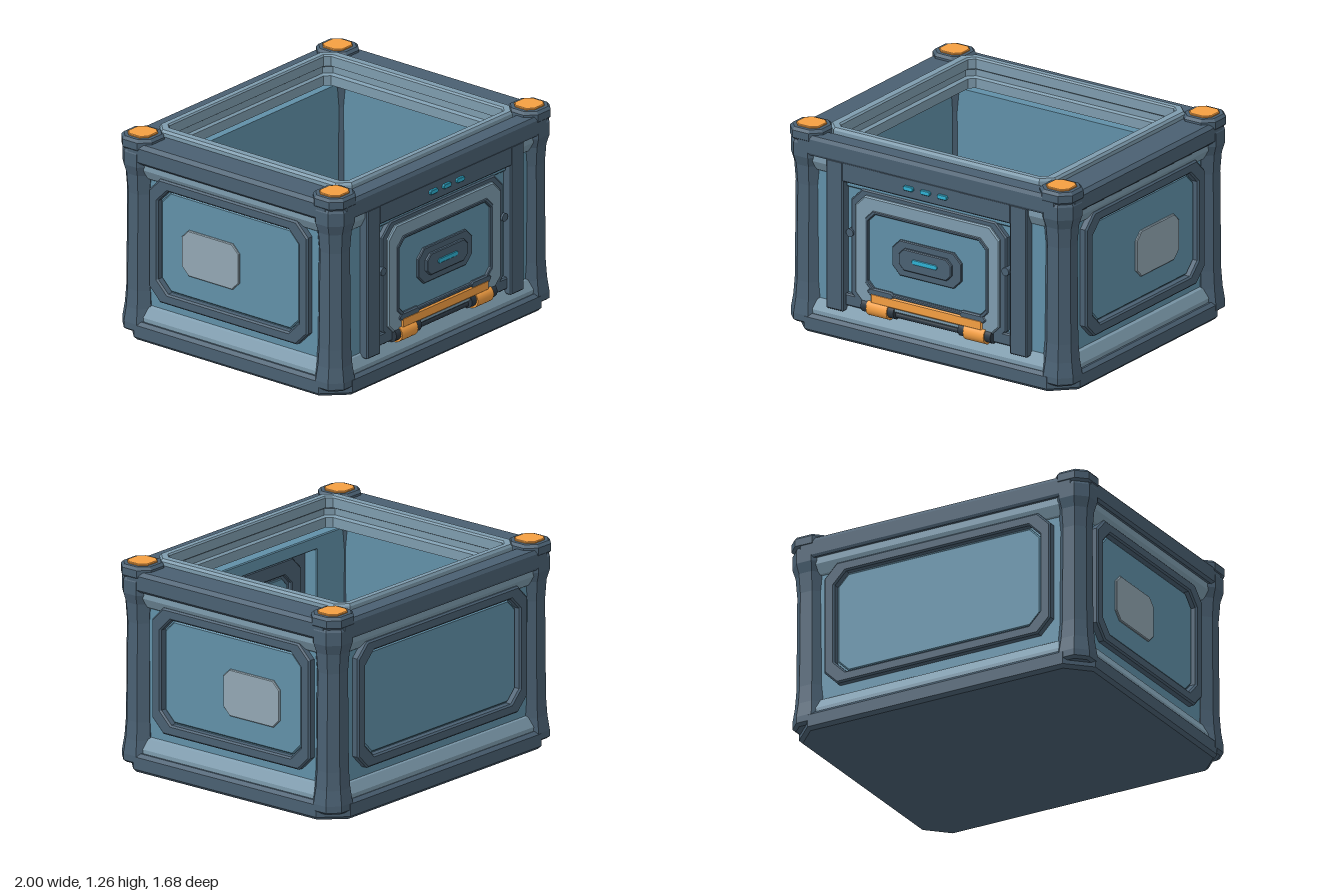
import * as THREE from 'three';

const DARK = 0x4a6072, BLUE = 0x6190a8, LIGHT = 0x7e9cae, FLOOR = 0x384956;
const ORANGE = 0xf59f42, CYAN = 0x2fb2d4, BLACK = 0x2c3843, PLATE = 0x93a7b3;

function add(parent, name, geometry, color, x = 0, y = 0, z = 0) {
  const mesh = new THREE.Mesh(geometry, new THREE.MeshStandardMaterial({ color }));
  mesh.name = name;
  mesh.position.set(x, y, z);
  parent.add(mesh);
  return mesh;
}

// Corners of a rectangle with cut corners
function octagon(hx, hy, c) {
  return [[hx, hy - c], [hx - c, hy], [c - hx, hy], [-hx, hy - c],
    [-hx, c - hy], [c - hx, -hy], [hx - c, -hy], [hx, c - hy]];
}

// Sweeps a profile of [outward offset, y] around a cut-corner rectangle
function sweep(hx, hz, c, profile, kz = 1) {
  const pos = [], index = [];
  for (const [o, y] of profile) {
    const a = Math.max(0, hx + o), b = Math.max(0, hz + o * kz);
    const cut = Math.min(Math.max(0.004, c + o * 0.586), a, b);
    for (const [x, z] of octagon(a, b, cut)) pos.push(x, y, z);
  }
  for (let j = 0; j < profile.length - 1; j++) {
    for (let i = 0; i < 8; i++) {
      const a = j * 8 + i, b = j * 8 + (i + 1) % 8;
      index.push(a, a + 8, b, b, a + 8, b + 8);
    }
  }
  let g = new THREE.BufferGeometry();
  g.setAttribute('position', new THREE.Float32BufferAttribute(pos, 3));
  g.setIndex(index);
  g = g.toNonIndexed();
  g.computeVertexNormals();
  return g;
}

// Bevelled cut-corner plate facing +z, front at z = depth; hole is [w, h, c]
function plate(w, h, c, depth, hole, bevel = 0.008) {
  const points = (a, b, k) => octagon(a / 2, b / 2, k).map(p => new THREE.Vector2(...p));
  const shape = new THREE.Shape(points(w, h, c));
  if (hole) shape.holes.push(new THREE.Path(points(...hole).reverse()));
  return new THREE.ExtrudeGeometry(shape, {
    depth: depth - bevel, bevelEnabled: true, bevelSegments: 1,
    bevelSize: bevel, bevelThickness: bevel, bevelOffset: -bevel,
  });
}

function rod(r, length, axis) {
  const g = new THREE.CylinderGeometry(r, r, length, 20);
  return axis === 'x' ? g.rotateZ(Math.PI / 2) : g.rotateX(Math.PI / 2);
}

// Recessed wall panel inside a raised octagonal frame
function framedPanel(name, w, h) {
  const g = new THREE.Group();
  g.name = name;
  add(g, 'panelFrame', plate(w, h, 0.085, 0.045, [w - 0.14, h - 0.13, 0.075], 0.01), DARK);
  add(g, 'panelInset', plate(w - 0.16, h - 0.15, 0.07, 0.018), BLUE);
  return g;
}

function buildBody() {
  const body = new THREE.Group();
  body.name = 'body';
  // Base, floor and walls; the front inner wall has the hatch opening
  add(body, 'base', sweep(0.997, 0.835, 0.14,
    [[-1, 0], [-0.02, 0], [0, 0.02], [0, 0.095], [-0.02, 0.115], [-0.09, 0.115]]), DARK);
  add(body, 'floor', new THREE.BoxGeometry(1.7, 0.04, 1.5), FLOOR, 0, 0.1, 0);
  add(body, 'outerWall', sweep(0.92, 0.77, 0.03, [[0, 0.1], [0, 1.12]]), BLUE);
  for (const s of [-1, 1])
    add(body, 'innerSideWall', new THREE.BoxGeometry(0.07, 0.98, 1.5), BLUE, 0.875 * s, 0.6, 0);
  add(body, 'innerRearWall', new THREE.BoxGeometry(1.72, 0.94, 0.1), BLUE, 0, 0.58, -0.71);
  const front = add(body, 'innerFrontWall',
    plate(1.72, 0.94, 0.005, 0.115, [1.18, 0.78, 0.005], 0.006), BLUE, 0, 0.58, 0.76);
  front.rotation.y = Math.PI;
  // Sloped trim above the base and below the rail
  add(body, 'lowerTrim', sweep(0.965, 0.81, 0.05,
    [[0, 0.1], [0, 0.14], [-0.03, 0.2], [-0.05, 0.212]]), LIGHT);
  add(body, 'upperTrim', sweep(0.965, 0.81, 0.05,
    [[-0.05, 0.99], [-0.03, 1.003], [0, 1.06], [0, 1.11]]), LIGHT);
  // Top rail and stepped inner rim
  add(body, 'topRail', sweep(0.995, 0.834, 0.09, [[-0.2, 1.1], [-0.015, 1.1], [0, 1.115],
    [0, 1.2], [-0.022, 1.222], [-0.2, 1.222], [-0.2, 1.1]], 0.55), DARK);
  add(body, 'innerRim', sweep(0.797, 0.724, 0.07, [[0, 1.08], [0, 1.245], [-0.012, 1.26],
    [-0.056, 1.26], [-0.066, 1.25], [-0.066, 1.19], [-0.045, 1.18], [-0.045, 1.14],
    [-0.066, 1.13], [-0.066, 1.07], [0.08, 1.07]], 0.75), LIGHT);
  // Flared corner posts with octagonal caps
  for (const sx of [-1, 1]) for (const sz of [-1, 1]) {
    const post = new THREE.Group();
    post.name = 'cornerPost';
    post.position.set(0.883 * sx, 0, 0.722 * sz);
    add(post, 'postShaft', sweep(0.115, 0.112, 0.065, [[-0.2, 0.045], [-0.02, 0.045], [0, 0.06],
      [0, 0.1], [-0.014, 0.19], [-0.022, 0.3], [-0.027, 0.9], [-0.018, 1.02], [0, 1.08],
      [0, 1.16], [-0.02, 1.2], [-0.2, 1.2]]), DARK);
    add(post, 'postCap', sweep(0.117, 0.115, 0.06, [[-0.2, 1.17], [-0.02, 1.17], [0, 1.19],
      [0, 1.235], [-0.015, 1.252], [-0.2, 1.252]]), DARK);
    add(post, 'capInlay', sweep(0.08, 0.077, 0.036,
      [[0, 1.24], [0, 1.258], [-0.005, 1.262], [-0.1, 1.262]]), ORANGE);
    body.add(post);
  }
  // Side panels with a small offset cover plate, and the plain rear panel
  for (const s of [-1, 1]) {
    const panel = framedPanel('sidePanel', 1.2, 0.77);
    add(panel, 'coverPlate', plate(0.43, 0.285, 0.05, 0.03, null, 0.005), PLATE, 0.145 * s, -0.03, 0);
    panel.position.set(0.92 * s, 0.65, -0.015);
    panel.rotation.y = s * Math.PI / 2;
    body.add(panel);
  }
  const rear = framedPanel('rearPanel', 1.52, 0.77);
  rear.position.set(0, 0.65, -0.77);
  rear.rotation.y = Math.PI;
  body.add(rear);
  body.position.z = -0.005;
  return body;
}

function buildHatch() {
  const hatch = new THREE.Group();
  hatch.name = 'frontHatch';
  const z = 0.764;
  // Door surround
  for (const s of [-1, 1]) add(hatch, 'jamb', plate(0.12, 0.93, 0.005, 0.06), DARK, 0.65 * s, 0.643, z);
  add(hatch, 'header', plate(1.2, 0.125, 0.005, 0.06), DARK, 0, 1.048, z);
  add(hatch, 'lintel', plate(1.18, 0.04, 0.005, 0.025), BLUE, 0, 0.968, z);
  add(hatch, 'sill', plate(1.18, 0.075, 0.005, 0.035), DARK, 0, 0.25, z);
  for (const x of [-0.12, 0, 0.12])
    add(hatch, 'indicatorLight', plate(0.07, 0.028, 0.008, 0.075, null, 0.003), CYAN, x, 1.05, z);
  // Nested octagonal rings of the door
  add(hatch, 'doorRing', plate(1.1, 0.74, 0.08, 0.035, [0.98, 0.64, 0.07]), DARK, 0, 0.59, z);
  add(hatch, 'doorFrame', plate(1.02, 0.68, 0.07, 0.052, [0.84, 0.5, 0.05]), LIGHT, 0, 0.59, z);
  add(hatch, 'doorTrim', plate(0.87, 0.51, 0.055, 0.057, [0.83, 0.47, 0.05], 0.005), DARK, 0, 0.595, z);
  add(hatch, 'doorPanel', plate(0.84, 0.48, 0.05, 0.04), BLUE, 0, 0.595, z);
  // Handle
  add(hatch, 'handlePlate', plate(0.49, 0.22, 0.055, 0.056, null, 0.005), DARK, 0, 0.602, z);
  add(hatch, 'handleGrip', plate(0.37, 0.134, 0.035, 0.074, null, 0.005), DARK, 0, 0.604, z);
  add(hatch, 'handleLight', plate(0.18, 0.03, 0.01, 0.079, null, 0.003), CYAN, 0, 0.605, z);
  // Hinges, hinge bar and side bolts
  add(hatch, 'hingeBar', plate(0.79, 0.065, 0.005, 0.06), ORANGE, 0, 0.307, z);
  add(hatch, 'hingePin', rod(0.018, 0.6, 'x'), BLACK, 0, 0.23, 0.787);
  for (const s of [-1, 1]) {
    add(hatch, 'hingeBarrel', rod(0.053, 0.145, 'x'), ORANGE, 0.343 * s, 0.243, 0.787);
    add(hatch, 'hingeCaps', rod(0.044, 0.23, 'x'), BLACK, 0.343 * s, 0.247, 0.787);
    add(hatch, 'hingeBracket', plate(0.19, 0.05, 0.02, 0.058), DARK, 0.325 * s, 0.345, z);
    add(hatch, 'sideBolt', rod(0.025, 0.05, 'z'), DARK, 0.55 * s, 0.675, 0.787);
  }
  return hatch;
}

// Inside face of the hatch, recessed in the wall opening
function buildHatchInside() {
  const g = new THREE.Group();
  g.name = 'hatchInside';
  g.position.set(0, 0.58, 0.76);
  g.rotation.y = Math.PI;
  add(g, 'insideSurround', plate(1.2, 0.8, 0.01, 0.03, null, 0.004), DARK);
  add(g, 'insideFrame', plate(1.06, 0.72, 0.08, 0.055, [0.88, 0.54, 0.06], 0.006), DARK);
  add(g, 'insidePanel', plate(0.84, 0.5, 0.05, 0.04, null, 0.004), BLUE);
  add(g, 'insidePull', plate(0.3, 0.2, 0.045, 0.06, [0.23, 0.13, 0.03], 0.005), ORANGE, 0, 0.025, 0);
  return g;
}

export function createModel() {
  const model = new THREE.Group();
  model.name = 'container';
  model.add(buildBody(), buildHatch(), buildHatchInside());
  return model;
}
